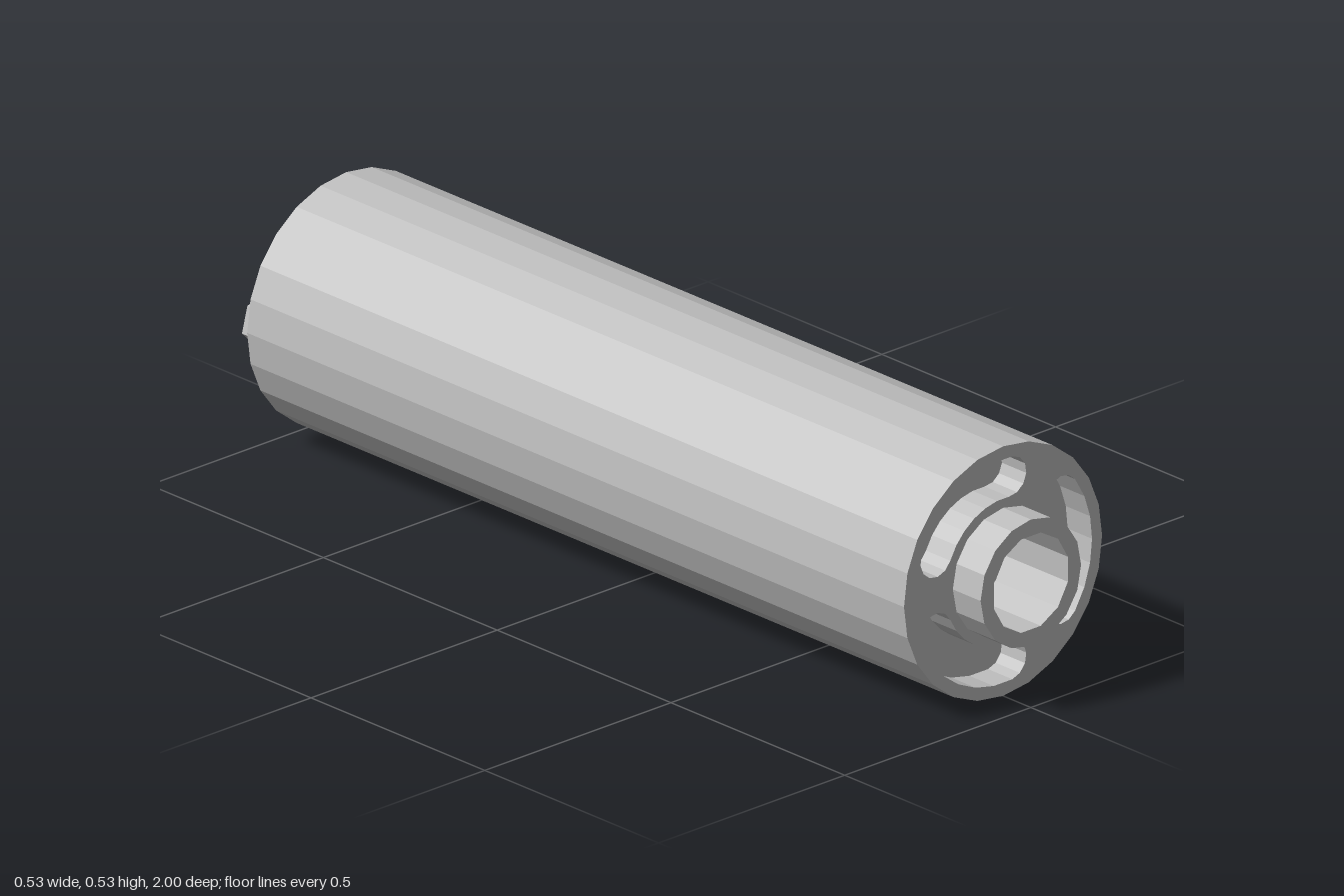
import * as THREE from 'three';

const AXIS_Y = 0.266;

// Regular polygon as a list of points, first corner at the given angle
function ring(radius, sides, start = 0) {
  return Array.from({ length: sides }, (_, i) => {
    const a = start + (i * 2 * Math.PI) / sides;
    return new THREE.Vector2(radius * Math.cos(a), radius * Math.sin(a));
  });
}

// Curved slot with round ends, centred on the given angle
function slot(mid) {
  const r = 0.197, w = 0.042, half = THREE.MathUtils.degToRad(36), pts = [];
  const polar = (radius, a) => new THREE.Vector2(radius * Math.cos(a), radius * Math.sin(a));
  const cap = (a, from) => {
    const c = polar(r, a);
    for (let i = 1; i < 6; i++) pts.push(c.clone().add(polar(w, from + (i * Math.PI) / 6)));
  };
  for (let i = 0; i <= 6; i++) pts.push(polar(r + w, mid - half + (i * half) / 3));
  cap(mid + half, mid + half);
  for (let i = 0; i <= 6; i++) pts.push(polar(r - w, mid + half - (i * half) / 3));
  cap(mid - half, mid - half + Math.PI);
  return pts;
}

export function createModel() {
  const grey = new THREE.MeshStandardMaterial({ color: 0xbfbfbf });
  grey.name = 'grey metal';
  const group = new THREE.Group();
  group.name = 'cylinder';

  // Prism along z with holes
  function prism(name, outline, holes, z0, z1) {
    const shape = new THREE.Shape(outline);
    holes.forEach((h) => shape.holes.push(new THREE.Path(h)));
    const geo = new THREE.ExtrudeGeometry(shape, { depth: z1 - z0, bevelEnabled: false });
    const mesh = new THREE.Mesh(geo, grey);
    mesh.name = name;
    mesh.position.set(0, AXIS_Y, z0);
    group.add(mesh);
    return mesh;
  }

  const shell = ring(0.266, 24);
  const bore = ring(0.103, 12, Math.PI / 12);
  const shaftHole = ring(0.063, 12);
  const slots = [0, 1, 2].map((i) => slot((i * 2 * Math.PI) / 3));

  // Body: long barrel, wider bore, slotted front face
  prism('barrel', shell, [shaftHole], -0.97, 0.82);
  prism('boreSection', shell, [bore], 0.82, 0.85);
  prism('slottedFace', shell, [bore, ...slots], 0.85, 0.92);

  // Collar around the bore
  prism('frontCollar', ring(0.135, 16), [bore], 0.92, 1);

  // Hexagonal bolt heads on the back
  for (let i = 0; i < 3; i++) {
    const a = Math.PI / 3 + (i * 2 * Math.PI) / 3;
    const bolt = prism('backBolt' + (i + 1), ring(0.057, 6, Math.PI / 12), [], -1, -0.97);
    bolt.position.x = 0.197 * Math.cos(a);
    bolt.position.y += 0.197 * Math.sin(a);
  }
  return group;
}
